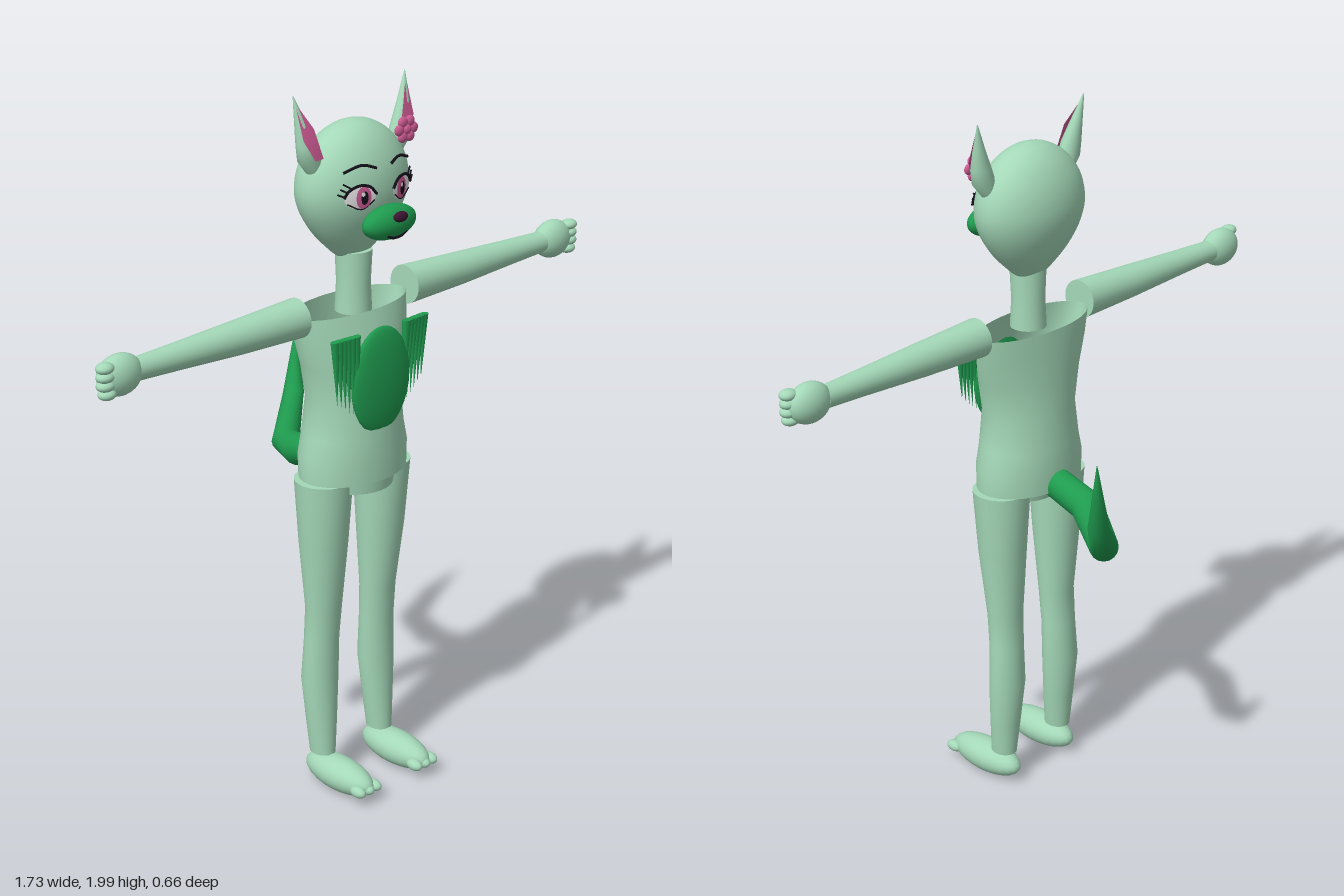
import * as THREE from 'three';

const mat = (name, color, side = THREE.FrontSide) => {
  const m = new THREE.MeshStandardMaterial({ color, side });
  m.name = name;
  return m;
};
const V = (x, y, z) => new THREE.Vector3(x, y, z);

// Skin through rings; each ring is { c: centre, u, v: half-axis vectors }
function loft(rings, n = 24, capped = true) {
  const pos = [], idx = [];
  const addRing = (r) => {
    for (let j = 0; j < n; j++) {
      const a = (j / n) * Math.PI * 2;
      const p = r.c.clone().addScaledVector(r.u, Math.cos(a)).addScaledVector(r.v, Math.sin(a));
      pos.push(p.x, p.y, p.z);
    }
  };
  rings.forEach(addRing);
  for (let i = 0; i < rings.length - 1; i++)
    for (let j = 0; j < n; j++) {
      const a = i * n + j, b = i * n + ((j + 1) % n);
      idx.push(a, a + n, b, b, a + n, b + n);
    }
  if (capped) [rings[0], rings[rings.length - 1]].forEach((r, end) => {
    const s = pos.length / 3;
    addRing(r);
    pos.push(r.c.x, r.c.y, r.c.z);
    for (let j = 0; j < n; j++) {
      const a = s + j, b = s + ((j + 1) % n);
      idx.push(...(end ? [s + n, b, a] : [s + n, a, b]));
    }
  });
  const g = new THREE.BufferGeometry();
  g.setAttribute('position', new THREE.Float32BufferAttribute(pos, 3));
  g.setIndex(idx);
  g.computeVertexNormals();
  return g;
}

// Level rings, bottom to top: [x, y, z, half width, half depth]
const stack = (rows, n, capped) =>
  loft(rows.map(([x, y, z, rx, rz]) => ({ c: V(x, y, z), u: V(rx, 0, 0), v: V(0, 0, rz) })), n, capped);

// Round limb along a path: [x, y, z, radius]
function limb(rows, n) {
  const pts = rows.map((r) => V(r[0], r[1], r[2]));
  const ref = V(0.9, 0.1, 0.4);
  return loft(rows.map((r, i) => {
    const t = pts[Math.min(i + 1, pts.length - 1)].clone().sub(pts[Math.max(i - 1, 0)]).normalize();
    const side = Math.abs(t.x) > 0.9 ? V(0, 0, 1) : ref;
    const u = side.clone().addScaledVector(t, -side.dot(t)).normalize();
    const v = u.clone().cross(t).normalize();
    return { c: pts[i], u: u.multiplyScalar(r[3]), v: v.multiplyScalar(r[3]) };
  }), n);
}

// Egg-shaped head profile and its front surface
const HEAD_Z = 0.122, HEAD_FLAT = 0.657;
const profile = new THREE.SplineCurve([[0, 1.535], [0.045, 1.545], [0.08, 1.573], [0.125, 1.62], [0.162, 1.68],
  [0.175, 1.74], [0.16, 1.805], [0.118, 1.862], [0.06, 1.898], [0, 1.91]]
  .map(([x, y]) => new THREE.Vector2(x, y))).getPoints(40);
profile.forEach((p) => { p.x = Math.max(p.x, 0); });
function headZ(x, y) {
  const i = Math.max(1, profile.findIndex((p) => p.y >= y));
  const a = profile[i - 1], b = profile[i];
  const r = a.x + (b.x - a.x) * (y - a.y) / (b.y - a.y);
  return HEAD_Z + HEAD_FLAT * Math.sqrt(Math.max(0, r * r - x * x));
}

export function createModel() {
  const root = new THREE.Group();
  root.name = 'earedCharacter';
  const mint = mat('mint', 0xa4d8b8), mintOpen = mat('mintOpen', 0xa4d8b8, THREE.DoubleSide);
  const green = mat('green', 0x1f9c4f);
  const pink = mat('pink', 0xcc5a92, THREE.DoubleSide);
  const white = mat('white', 0xf4f0f2), black = mat('black', 0x15101a), plum = mat('plum', 0x3a1430);

  const add = (name, geo, m, parent = root) => {
    const mesh = new THREE.Mesh(geo, m);
    mesh.name = name;
    parent.add(mesh);
    return mesh;
  };
  const ball = (name, x, y, z, rx, ry, rz, m, parent) => {
    const b = add(name, new THREE.SphereGeometry(1, 24, 16), m, parent);
    b.position.set(x, y, z);
    b.scale.set(rx, ry, rz);
    return b;
  };
  // Disc wrapped onto the face
  const faceDisc = (name, x, y, rx, ry, lift, m) => {
    const g = new THREE.RingGeometry(0, 1, 28, 5), p = g.attributes.position;
    for (let i = 0; i < p.count; i++) {
      const px = x + p.getX(i) * rx, py = y + p.getY(i) * ry;
      p.setXYZ(i, px, py, headZ(px, py) + lift);
    }
    g.computeVertexNormals();
    return add(name, g, m);
  };
  // Thin line following the face
  const faceLine = (name, pts, r, lift, m = black) => {
    const c = new THREE.CatmullRomCurve3(pts.map(([x, y]) => V(x, y, headZ(x, y) + lift)));
    return add(name, new THREE.TubeGeometry(c, 12, r, 5), m);
  };

  // Head and neck
  const head = add('head', new THREE.LatheGeometry(profile, 40), mint);
  head.position.z = HEAD_Z;
  head.scale.z = HEAD_FLAT;
  add('neck', stack([[0, 1.39, 0.13, 0.05, 0.05], [0, 1.47, 0.13, 0.046, 0.046], [0, 1.56, 0.13, 0.05, 0.05]]), mint);

  // Torso: [y, half width, back z, front z]
  const torso = [[0.935, 0.168, 0.012, 0.25], [1.0, 0.17, 0.01, 0.25], [1.06, 0.155, 0.012, 0.248],
    [1.16, 0.143, 0.02, 0.242], [1.26, 0.165, 0.023, 0.235], [1.34, 0.186, 0.024, 0.217], [1.405, 0.195, 0.026, 0.2]];
  add('torso', stack(torso.map(([y, rx, b, f]) => [0, y, (b + f) / 2, rx, (f - b) / 2]), 36, false), mintOpen);
  add('pelvis', stack([[0, 0.9, 0.145, 0.105, 0.095], [0, 0.96, 0.14, 0.12, 0.105]], 32), mint);

  // Chest patch
  ball('chestPatch', 0, 1.22, 0.236, 0.105, 0.15, 0.024, green);

  // Muzzle, nose and mouth
  ball('muzzle', 0, 1.663, 0.262, 0.09, 0.046, 0.04, green);
  ball('nose', 0, 1.686, 0.304, 0.023, 0.014, 0.013, plum);
  add('mouth', new THREE.TubeGeometry(new THREE.CatmullRomCurve3(
    [V(-0.035, 1.638, 0.29), V(-0.015, 1.629, 0.29), V(0.015, 1.629, 0.29), V(0.035, 1.638, 0.29)]), 16, 0.004, 6), black);

  for (const s of [1, -1]) {
    const side = s > 0 ? 'left' : 'right';

    // Eyes, lashes and brows
    faceDisc(side + 'EyeWhite', s * 0.073, 1.736, 0.043, 0.031, 0.008, white);
    faceDisc(side + 'Iris', s * 0.067, 1.735, 0.021, 0.03, 0.011, pink);
    faceDisc(side + 'Pupil', s * 0.067, 1.735, 0.01, 0.018, 0.014, black);
    faceDisc(side + 'EyeGlint', s * 0.067 - 0.006, 1.746, 0.005, 0.006, 0.016, white);
    faceLine(side + 'UpperLid', [[s * 0.03, 1.74], [s * 0.05, 1.762], [s * 0.08, 1.768], [s * 0.108, 1.755], [s * 0.118, 1.738]], 0.004, 0.011);
    faceLine(side + 'LowerLid', [[s * 0.035, 1.725], [s * 0.07, 1.704], [s * 0.11, 1.722]], 0.002, 0.01);
    for (let i = 0; i < 3; i++)
      faceLine(side + 'Lash', [[s * (0.118 - i * 0.009), 1.742 + i * 0.01], [s * (0.134 - i * 0.007), 1.75 + i * 0.013]], 0.0025, 0.013);
    faceLine(side + 'Brow', [[s * 0.025, 1.806], [s * 0.065, 1.818], [s * 0.115, 1.803]], 0.004, 0.014);

    // Ear with pink lining
    add(side + 'Ear', stack([[s * 0.135, 1.785, 0.13, 0.022, 0.02], [s * 0.158, 1.83, 0.132, 0.036, 0.026],
      [s * 0.168, 1.87, 0.132, 0.031, 0.025], [s * 0.181, 1.925, 0.125, 0.018, 0.016], [s * 0.197, 2, 0.113, 0.001, 0.001]], 20), mint);
    const lining = new THREE.BufferGeometry();
    lining.setAttribute('position', new THREE.Float32BufferAttribute([s * 0.196, 1.985, 0.118, s * 0.195, 1.89, 0.15,
      s * 0.168, 1.835, 0.165, s * 0.135, 1.835, 0.16, s * 0.158, 1.915, 0.148], 3));
    lining.setIndex(s > 0 ? [0, 4, 1, 1, 4, 2, 2, 4, 3] : [0, 1, 4, 1, 2, 4, 2, 3, 4]);
    lining.computeVertexNormals();
    add(side + 'EarLining', lining, pink);

    // Arm and hand
    const shape = [[0.195, 1.412, 0.125, 0.054], [0.4, 1.41, 0.125, 0.046], [0.6, 1.41, 0.124, 0.036], [0.74, 1.41, 0.123, 0.03]];
    add(side + 'Arm', limb(shape.map(([x, ...r]) => [s * x, ...r]), 24), mint);
    ball(side + 'Palm', s * 0.785, 1.41, 0.124, 0.066, 0.055, 0.041, mint);
    for (let i = 0; i < 4; i++)
      ball(side + 'Finger', s * (0.84 - (i === 3 ? 0.004 : 0)), 1.444 - i * 0.023, 0.138, 0.025, 0.015, 0.022, mint);

    // Leg, foot and toes
    add(side + 'Leg', stack([[s * 0.11, 0.1, 0.13, 0.034, 0.039], [s * 0.109, 0.2, 0.124, 0.045, 0.042],
      [s * 0.108, 0.33, 0.116, 0.056, 0.047], [s * 0.105, 0.45, 0.12, 0.053, 0.044], [s * 0.103, 0.55, 0.126, 0.054, 0.047],
      [s * 0.107, 0.75, 0.13, 0.07, 0.066], [s * 0.108, 0.935, 0.131, 0.08, 0.081]], 28), mint);
    ball(side + 'Foot', s * 0.11, 0.055, 0.2, 0.052, 0.048, 0.127, mint);
    for (let i = -1; i <= 1; i++)
      ball(side + 'Toe', s * 0.11 + i * 0.03, 0.05, 0.308 - Math.abs(i) * 0.002, 0.017, 0.016, 0.027, mint);

    // Chest fur tufts
    for (let i = 0; i < 6; i++) {
      const len = 0.235 - i * 0.011;
      const tuft = add(side + 'ChestTuft', new THREE.ConeGeometry(0.015, len, 10), green);
      tuft.scale.z = 0.7;
      tuft.rotation.set(Math.PI, 0, s * 0.04);
      tuft.position.set(s * (0.088 + i * 0.014), 1.365 - len / 2, 0.238 - i * 0.001);
    }
  }

  // Flower on the left ear
  const flower = new THREE.Group();
  flower.name = 'earFlower';
  flower.position.set(0.147, 1.862, 0.172);
  root.add(flower);
  for (let i = 0; i < 6; i++) {
    const a = (i / 6) * Math.PI * 2;
    ball('petal', Math.cos(a) * 0.025, Math.sin(a) * 0.023, 0, 0.016, 0.015, 0.009, pink, flower);
  }
  ball('flowerCentre', 0, 0, 0.002, 0.014, 0.014, 0.01, pink, flower);

  // Tail
  add('tail', limb([[0, 0.955, 0.03, 0.043], [0, 0.92, -0.09, 0.046], [0.085, 0.875, -0.235, 0.04],
    [0.176, 0.985, -0.3, 0.03], [0.2, 1.18, -0.315, 0.001]], 16), green);

  return root;
}
